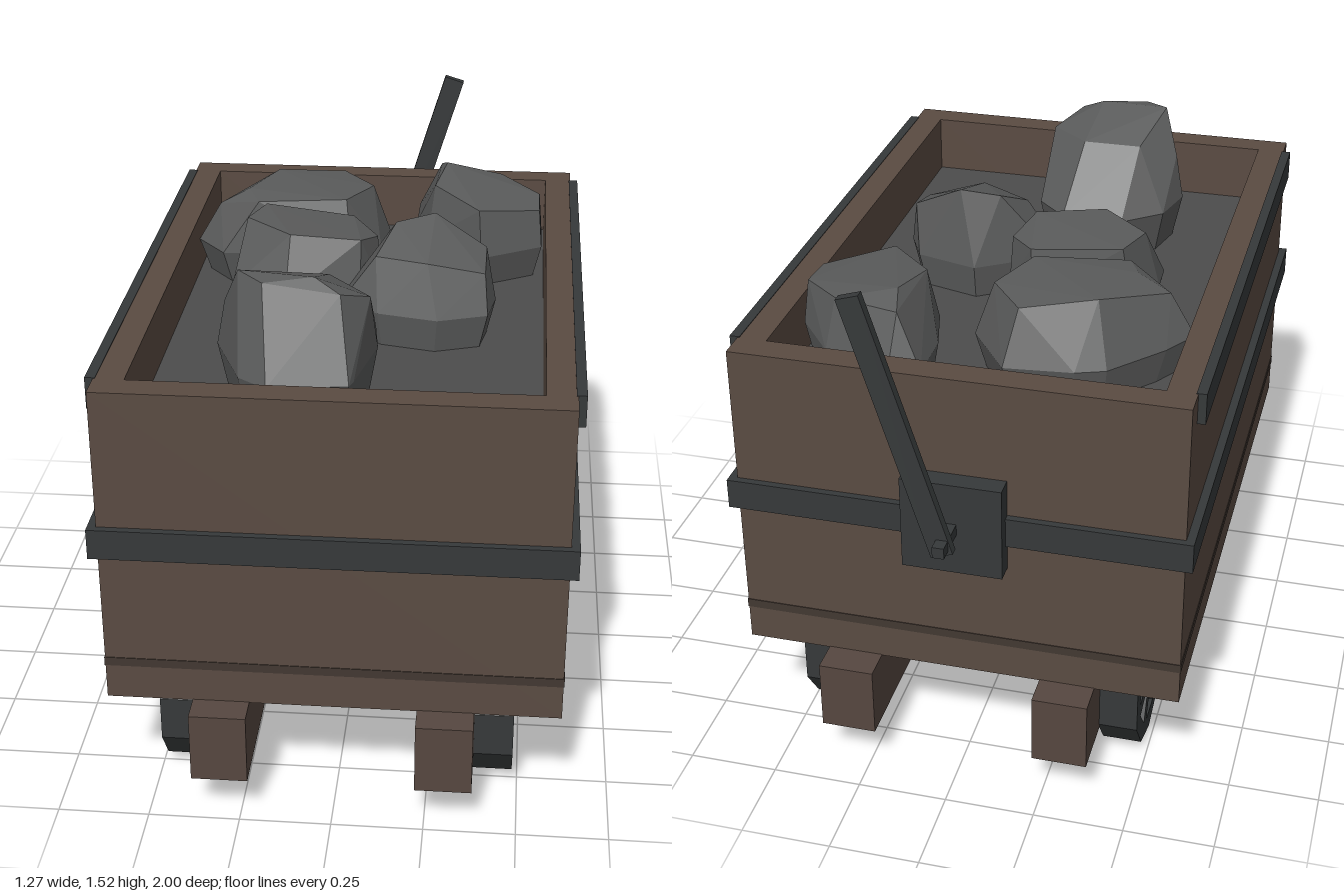
import * as THREE from 'three';
import { ConvexGeometry } from 'three/addons/geometries/ConvexGeometry.js';

const mat = (color) => new THREE.MeshStandardMaterial({ color, flatShading: true });
const wood = mat(0x5a4b42), beamWood = mat(0x564740), darkWood = mat(0x423832);
const iron = mat(0x36393a), stone = mat(0x5a5b5b), gravel = mat(0x4c4c4c);

const BODY_Z = 0.045; // the tub sits slightly forward of centre

function add(parent, name, geometry, material) {
  const mesh = new THREE.Mesh(geometry, material);
  mesh.name = name;
  parent.add(mesh);
  return mesh;
}

// Box given by its minimum and maximum on each axis
function block(parent, name, [x0, x1], [y0, y1], [z0, z1], material) {
  const mesh = add(parent, name, new THREE.BoxGeometry(x1 - x0, y1 - y0, z1 - z0), material);
  mesh.position.set((x0 + x1) / 2, (y0 + y1) / 2, (z0 + z1) / 2);
  return mesh;
}

function rectangle(path, w, d) {
  path.moveTo(-w, -d);
  path.lineTo(w, -d);
  path.lineTo(w, d);
  path.lineTo(-w, d);
  path.closePath();
  return path;
}

// Rectangular ring around the tub, from half widths and half depths
function frame(parent, name, outer, inner, y0, y1, material) {
  const shape = rectangle(new THREE.Shape(), ...outer);
  shape.holes.push(rectangle(new THREE.Path(), ...inner));
  const geometry = new THREE.ExtrudeGeometry(shape, { depth: y1 - y0, bevelEnabled: false });
  geometry.rotateX(-Math.PI / 2);
  const mesh = add(parent, name, geometry, material);
  mesh.position.set(0, y0, BODY_Z);
  return mesh;
}

// Ten-sided wheel with seven openings between the spokes
function wheelGeometry() {
  const R = 0.208, SPOKES = 7, width = 0.11;
  const shape = new THREE.Shape();
  const at = (r, a) => new THREE.Vector2(r * Math.cos(a), r * Math.sin(a));
  const rim = [];
  for (let i = 0; i < 10; i++) rim.push(at(R, -Math.PI / 2 + i * Math.PI / 5));
  shape.setFromPoints(rim);
  for (let i = 0; i < SPOKES; i++) {
    const a = -Math.PI / 2 + (i * 2 * Math.PI) / SPOKES;
    const hole = new THREE.Path();
    hole.setFromPoints([at(0.075, a - 0.2), at(0.155, a - 0.31), at(0.155, a + 0.31), at(0.075, a + 0.2)]);
    hole.closePath();
    shape.holes.push(hole);
  }
  const geometry = new THREE.ExtrudeGeometry(shape, { depth: width, bevelEnabled: false });
  geometry.translate(0, 0, -width / 2);
  geometry.rotateY(Math.PI / 2);
  return geometry;
}

// Rock: widest outline [x, z] at height y, upper corners [x, y, z], buried base
function rock(parent, name, y, outline, upper) {
  const centre = outline.reduce((c, [x, z]) => [c[0] + x / outline.length, c[1] + z / outline.length], [0, 0]);
  const points = upper.map((p) => new THREE.Vector3(...p));
  for (const [x, z] of outline) {
    points.push(new THREE.Vector3(x, y, z));
    points.push(new THREE.Vector3(centre[0] + (x - centre[0]) * 0.8, 0.98, centre[1] + (z - centre[1]) * 0.8));
  }
  add(parent, name, new ConvexGeometry(points), stone);
}

export function createModel() {
  const cart = new THREE.Group();
  cart.name = 'mineCart';

  // Wooden tub
  const tub = new THREE.Group();
  tub.name = 'tub';
  cart.add(tub);
  frame(tub, 'tubWalls', [0.61, 0.875], [0.53, 0.795], 0.33, 1.24, wood);
  block(tub, 'tubFloor', [-0.54, 0.54], [0.331, 0.4], [BODY_Z - 0.8, BODY_Z + 0.8], darkWood);
  frame(tub, 'plankSeam', [0.612, 0.877], [0.6, 0.865], 0.43, 0.455, darkWood);

  // Iron bands
  frame(tub, 'middleBand', [0.633, 0.895], [0.6, 0.865], 0.77, 0.855, iron);
  for (const s of [-1, 1]) {
    const strip = block(tub, 'topSideStrip', [0.605, 0.632], [1.155, 1.242], [-0.75, 0.84], iron);
    strip.position.x *= s;
  }

  // Chassis beams and wheels
  const wheel = wheelGeometry();
  for (const s of [-1, 1]) {
    const beam = block(cart, 'chassisBeam', [0.225, 0.378], [0.13, 0.332], [-0.92, 1], beamWood);
    beam.position.x *= s;
    for (const z of [0.645, -0.555]) {
      add(cart, 'wheel', wheel, iron).position.set(s * 0.43, 0.208, z);
    }
  }

  // Brake lever on the back
  const brake = new THREE.Group();
  brake.name = 'brake';
  cart.add(brake);
  block(brake, 'brakePlate', [-0.138, 0.136], [0.69, 0.96], [-0.886, -0.82], iron);
  block(brake, 'brakePin', [-0.016, 0.016], [0.81, 0.842], [-1, -0.88], iron);
  const lever = add(brake, 'brakeLever', new THREE.BoxGeometry(0.062, 0.75, 0.026), iron);
  lever.position.set(0.112, 1.152, -0.951);
  lever.rotation.z = -0.3;

  // Load of ore
  const load = new THREE.Group();
  load.name = 'load';
  cart.add(load);
  block(load, 'gravelFill', [-0.53, 0.53], [0.4, 1.07], [-0.75, 0.84], gravel);

  rock(load, 'frontRock', 1.2,
    [[-0.31, 0.37], [-0.2, 0.28], [-0.02, 0.28], [0.07, 0.37], [0.085, 0.5], [0.04, 0.72], [0.03, 0.75], [-0.18, 0.78], [-0.26, 0.72], [-0.345, 0.51]],
    [[-0.27, 1.45, 0.6], [-0.07, 1.445, 0.62], [-0.2, 1.44, 0.66], [0.0, 1.41, 0.65], [0.07, 1.37, 0.56], [-0.05, 1.38, 0.44], [-0.22, 1.38, 0.44], [-0.32, 1.33, 0.52]]);
  rock(load, 'middleRock', 1.17,
    [[-0.33, -0.19], [-0.38, -0.05], [-0.375, 0.05], [-0.21, 0.14], [0, 0.07], [0.05, -0.02], [0.04, -0.12], [-0.05, -0.21]],
    [[-0.34, 1.34, -0.07], [-0.2, 1.34, 0.06], [0, 1.32, 0.035], [0.04, 1.29, -0.08], [-0.04, 1.31, -0.19], [-0.3, 1.34, -0.19]]);
  rock(load, 'backRock', 1.17,
    [[-0.34, -0.57], [-0.26, -0.6], [-0.07, -0.62], [0.05, -0.45], [0.03, -0.32], [-0.05, -0.21], [-0.44, -0.21], [-0.53, -0.32], [-0.47, -0.42]],
    [[-0.37, 1.34, -0.32], [-0.3, 1.34, -0.5], [-0.1, 1.32, -0.56], [0, 1.32, -0.43], [-0.07, 1.33, -0.27], [-0.33, 1.33, -0.23], [-0.46, 1.29, -0.32]]);
  rock(load, 'sideRock', 1.17,
    [[-0.05, 0.07], [-0.05, 0.13], [0.06, 0.21], [0.23, 0.25], [0.37, 0.2], [0.39, 0.08], [0.34, -0.02], [0.16, -0.07], [0.07, 0]],
    [[0.21, 1.39, -0.02], [0.1, 1.37, 0.01], [0.36, 1.31, 0.03], [0.36, 1.28, 0.16], [0.2, 1.32, 0.2], [0.05, 1.31, 0.13]]);
  rock(load, 'cornerRock', 1.17,
    [[0.13, -0.69], [0.21, -0.73], [0.41, -0.64], [0.52, -0.5], [0.52, -0.34], [0.34, -0.23], [0.17, -0.38], [0.13, -0.53]],
    [[0.39, 1.31, -0.6], [0.22, 1.35, -0.58], [0.51, 1.29, -0.48], [0.51, 1.28, -0.36], [0.33, 1.31, -0.26], [0.19, 1.33, -0.42], [0.2, 1.32, -0.66]]);

  return cart;
}
